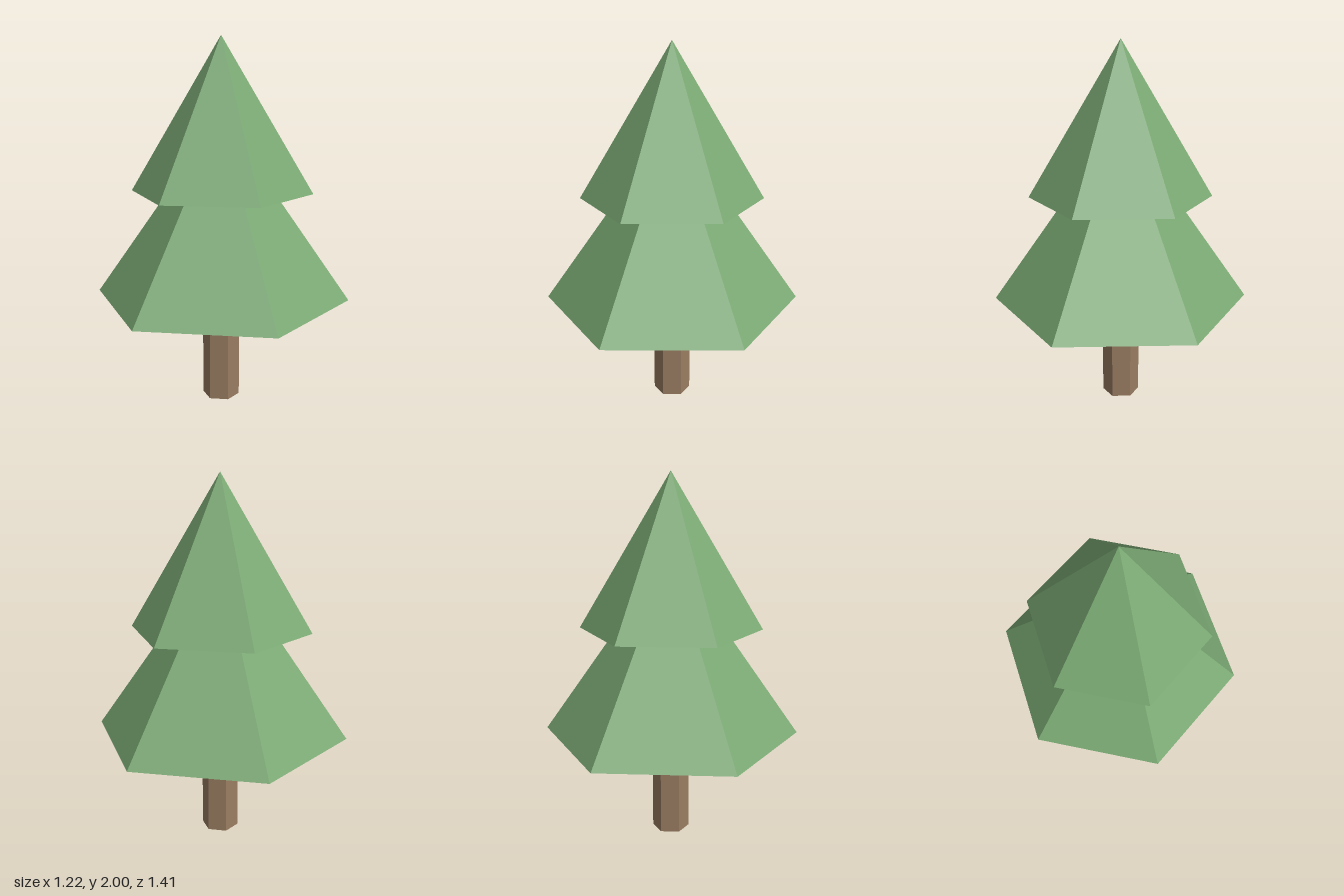
import * as THREE from 'three';

const SIDES = 6;

export function createModel() {
  const tree = new THREE.Group();
  tree.name = 'pineTree';

  const bark = new THREE.MeshStandardMaterial({ color: 0x9a7d62 });
  bark.name = 'bark brown';
  bark.flatShading = true;
  const needles = new THREE.MeshStandardMaterial({ color: 0x7aa973 });
  needles.name = 'needle green';
  needles.flatShading = true;

  // Adds a six-sided part standing on height y, with a corner facing front
  const addPart = (name, geometry, material, y) => {
    const mesh = new THREE.Mesh(geometry, material);
    mesh.name = name;
    mesh.position.y = y + geometry.parameters.height / 2;
    tree.add(mesh);
  };

  // Trunk, its top just inside the lower branches
  addPart('trunk', new THREE.CylinderGeometry(0.103, 0.103, 0.6, SIDES), bark, 0);

  // Two overlapping tiers of foliage
  addPart('lowerFoliage', new THREE.ConeGeometry(0.705, 1.0, SIDES), needles, 0.588);
  addPart('upperFoliage', new THREE.ConeGeometry(0.498, 0.827, SIDES), needles, 1.173);

  return tree;
}
